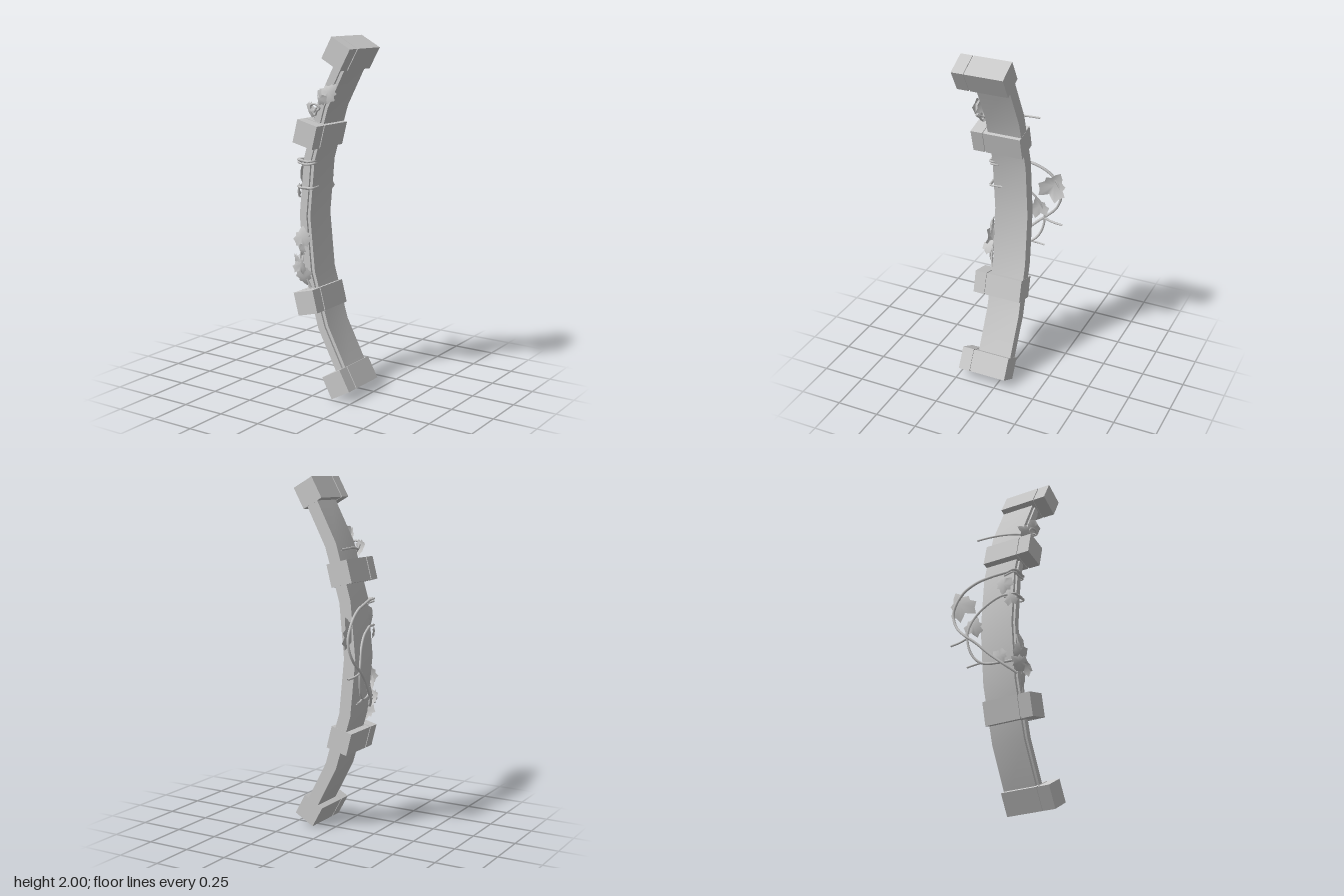
import * as THREE from 'three';
import { toCreasedNormals } from 'three/addons/utils/BufferGeometryUtils.js';

const CX = 1.548, R = 1.67, RAD = Math.PI / 180;

// Point on the arc at an angle above (+) or below (-) mid height
const arc = (deg, r = R) => new THREE.Vector2(CX - r * Math.cos(deg * RAD), 1 + r * Math.sin(deg * RAD));

// Curved strip of a given half width, extruded from z0 to z1
function strip(half, z0, z1) {
  const angles = [-33, -22, -11, 0, 11, 22, 33];
  const outer = angles.map(a => arc(a, R + half));
  const inner = angles.map(a => arc(a, R - half)).reverse();
  const geo = new THREE.ExtrudeGeometry(new THREE.Shape([...outer, ...inner]),
    { depth: z1 - z0, bevelEnabled: false });
  geo.translate(0, 0, z0);
  return toCreasedNormals(geo, 0.5);
}

// Lobed ivy leaf, folded along its midrib and drooping at the tip
function leafGeometry() {
  const half = [[0.1, -0.42], [0.3, -0.5], [0.36, -0.3], [0.5, -0.12], [0.34, 0.02],
    [0.36, 0.2], [0.2, 0.24], [0.14, 0.4]];
  const pts = [[0, -0.36], ...half, [0, 0.56], ...half.map(([x, y]) => [-x, y]).reverse()];
  // Fan about the midrib so that the fold is kept
  const pos = [], idx = [];
  pos.push(0, 0, 0.08);
  for (const [x, y] of pts) pos.push(x, y, 0.08 - Math.abs(x) * 0.35 - y * y * 0.4);
  for (let i = 1; i <= pts.length; i++) idx.push(0, i, i % pts.length + 1);
  const geo = new THREE.BufferGeometry();
  geo.setAttribute('position', new THREE.Float32BufferAttribute(pos, 3));
  geo.setIndex(idx);
  geo.computeVertexNormals();
  return geo;
}

export function createModel() {
  const model = new THREE.Group();
  model.name = 'vineCoveredArc';
  const stone = new THREE.MeshStandardMaterial({ color: 0xc8c8c8, side: THREE.DoubleSide });
  stone.name = 'pale grey';

  const add = (name, geo, parent = model) => {
    const mesh = new THREE.Mesh(geo, stone);
    mesh.name = name;
    parent.add(mesh);
    return mesh;
  };

  // Curved band with a narrow raised rib on its front
  add('curvedBand', strip(0.036, -0.059, 0.14));
  add('frontRib', strip(0.018, 0.14, 0.152));

  // Four blocks: deep body, recessed joint, front cap
  const blocks = [[-33, -29], [-16.4, -14.5], [16.4, 14.5], [33, 29]];
  for (const [deg, tilt] of blocks) {
    const block = new THREE.Group();
    block.name = 'block';
    const p = arc(deg);
    block.position.set(p.x, p.y, 0);
    block.rotation.z = -tilt * RAD;
    for (const [name, side, z0, z1] of [
      ['blockBody', 0.132, -0.06, 0.158],
      ['blockJoint', 0.122, 0.158, 0.166],
      ['blockCap', 0.132, 0.166, 0.236]]) {
      const geo = new THREE.BoxGeometry(side, side, z1 - z0);
      geo.translate(0, 0, (z0 + z1) / 2);
      add(name, geo, block);
    }
    model.add(block);
  }

  // Vine stems as tubes through a few points
  const vine = (name, radius, points, closed = false) => {
    const curve = new THREE.CatmullRomCurve3(points.map(p => new THREE.Vector3(...p)), closed);
    add(name, new THREE.TubeGeometry(curve, points.length * 6, radius, 6, closed));
  };
  vine('longVine', 0.008, [[-0.08, 1.31, 0.165], [-0.14, 1.32, 0.165], [-0.155, 1.315, 0.1],
    [-0.175, 1.3, 0], [-0.185, 1.28, -0.08], [-0.195, 1.23, -0.16], [-0.2, 1.13, -0.215],
    [-0.21, 1.03, -0.19], [-0.225, 0.95, -0.12], [-0.215, 0.9, -0.06], [-0.195, 0.82, 0.02],
    [-0.17, 0.75, 0.1], [-0.13, 0.7, 0.16]]);
  vine('innerVine', 0.007, [[-0.07, 1.165, 0.165], [-0.14, 1.165, 0.165], [-0.165, 1.17, 0.09],
    [-0.18, 1.13, 0], [-0.2, 1.06, -0.07], [-0.215, 0.98, -0.105], [-0.212, 0.89, -0.105],
    [-0.2, 0.81, -0.07], [-0.185, 0.775, -0.02], [-0.165, 0.77, 0.06], [-0.13, 0.78, 0.155]]);
  vine('sideTwig', 0.006, [[-0.215, 0.94, -0.1], [-0.21, 0.925, -0.16], [-0.205, 0.92, -0.225]]);
  vine('lowTwig', 0.006, [[-0.19, 0.78, -0.04], [-0.2, 0.772, -0.08], [-0.2, 0.768, -0.118]]);
  vine('upperVine', 0.006, [[-0.105, 1.61, -0.122], [-0.1, 1.61, -0.05], [-0.085, 1.61, 0.03],
    [-0.065, 1.6, 0.12], [-0.035, 1.59, 0.175], [0, 1.61, 0.2]]);
  vine('upperCurl', 0.006, [[-0.04, 1.6, 0.185], [-0.035, 1.63, 0.2], [0, 1.635, 0.205],
    [0.02, 1.615, 0.2], [0, 1.6, 0.195], [-0.02, 1.575, 0.185]], true);
  vine('lowerVine', 0.006, [[-0.07, 0.6, 0.16], [-0.1, 0.68, 0.175], [-0.13, 0.76, 0.175],
    [-0.12, 0.85, 0.165], [-0.13, 0.93, 0.155]]);

  // Tendrils wrapped over the front edge
  for (const [y, z] of [[1.315, 0.16], [1.3, 0.155], [1.165, 0.16]]) {
    vine('wrap', 0.006, [[-0.15, y, 0.09], [-0.155, y + 0.005, z], [-0.11, y - 0.005, z + 0.006],
      [-0.06, y, z], [-0.065, y, 0.09]]);
  }

  // Leaves: position, turn (x, y, z in degrees), size
  const leaf = leafGeometry();
  const leaves = [
    [0.06, 1.7, 0.175, -20, 20, -30, 0.11],
    [0.015, 1.665, 0.185, 15, -25, 140, 0.1],
    [-0.06, 1.605, 0.18, 10, -35, 75, 0.1],
    [-0.115, 0.89, 0.18, -15, 15, 5, 0.11],
    [-0.13, 0.82, 0.175, 20, -30, 160, 0.1],
    [-0.15, 0.75, 0.185, 15, -40, 70, 0.1],
    [-0.11, 0.73, 0.205, -60, 50, 30, 0.09],
    [-0.1, 0.66, 0.18, 15, 20, 190, 0.1],
    [-0.185, 1.17, -0.175, 0, -80, 25, 0.17],
    [-0.2, 1.01, -0.08, 0, -75, -15, 0.12],
    [-0.17, 1.23, 0.1, 0, -75, 170, 0.11],
    [-0.165, 1.14, 0.14, 0, -65, 10, 0.08],
    [-0.18, 0.8, 0.08, 0, -70, 200, 0.09],
  ];
  for (const [x, y, z, rx, ry, rz, size] of leaves) {
    const mesh = add('leaf', leaf);
    mesh.position.set(x, y, z);
    mesh.rotation.set(rx * RAD, ry * RAD, rz * RAD);
    mesh.scale.setScalar(size);
  }
  return model;
}
